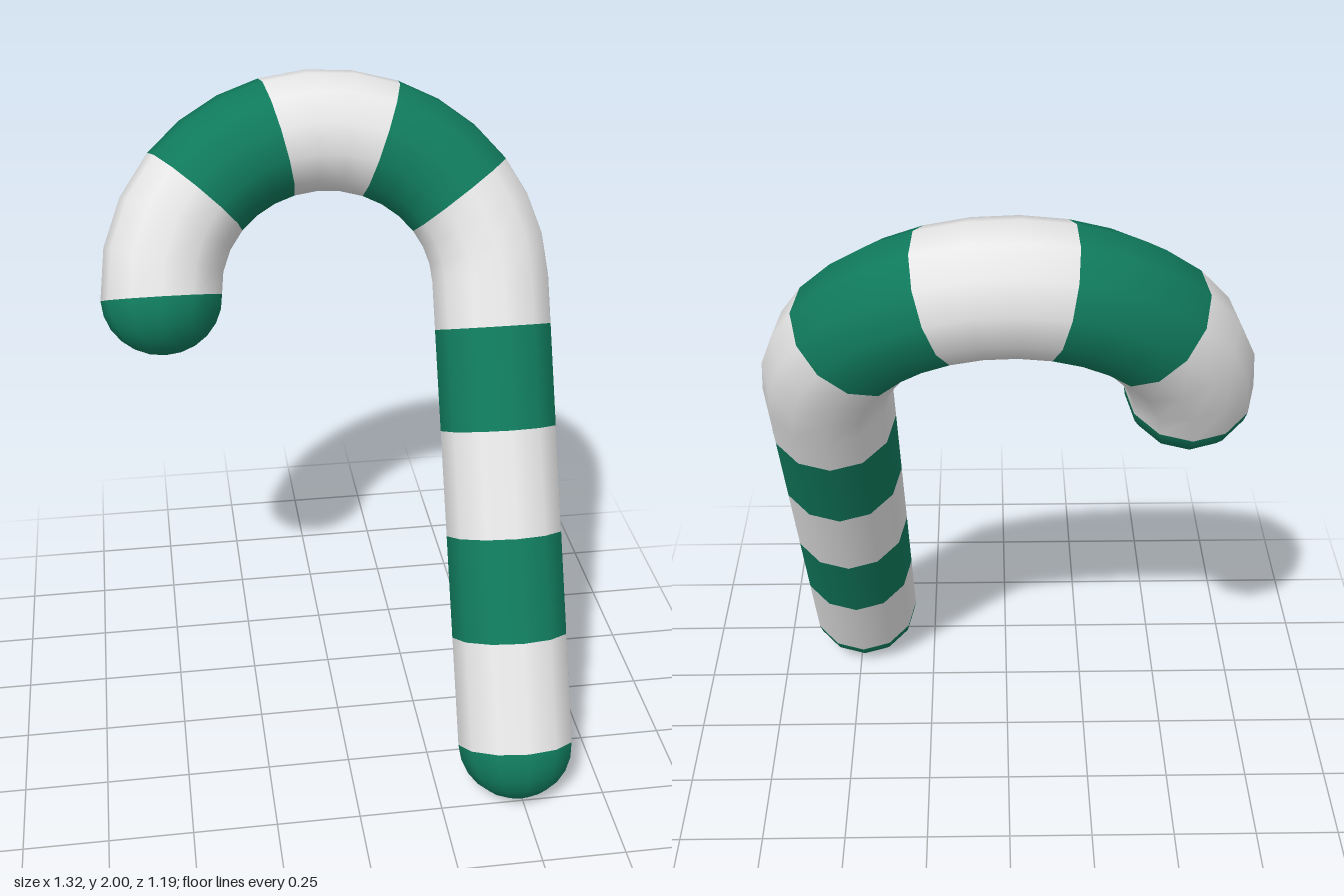
import * as THREE from 'three';

const RADIUS = 0.175;  // thickness of the cane
const SIDES = 12;
const HOOK_X = 0.485;  // half width of the hook
const HOOK_Y = 0.457;  // height of the hook above the shaft
const SHAFT = 1.392;   // length of the straight shaft

// Part of the half-ellipse hook between two angles in degrees
class HookCurve extends THREE.Curve {
  constructor(from, to) {
    super();
    this.from = from;
    this.to = to;
  }
  getPoint(t, target = new THREE.Vector3()) {
    const a = THREE.MathUtils.degToRad(this.from + (this.to - this.from) * t);
    return target.set(HOOK_X * Math.cos(a), SHAFT + HOOK_Y * Math.sin(a), 0);
  }
}

export function createModel() {
  const green = new THREE.MeshStandardMaterial({ color: 0x107a5c });
  green.name = 'green';
  const white = new THREE.MeshStandardMaterial({ color: 0xe6e6e6 });
  white.name = 'white';

  const cane = new THREE.Group();
  cane.name = 'candyCane';

  const add = (geometry, material, name) => {
    const mesh = new THREE.Mesh(geometry, material);
    mesh.name = name;
    cane.add(mesh);
    return mesh;
  };

  // Straight shaft, in alternating bands
  const shaftStops = [0, 0.328, 0.635, 0.95, 1.25, SHAFT];
  for (let i = 0; i < shaftStops.length - 1; i++) {
    const line = new THREE.LineCurve3(
      new THREE.Vector3(HOOK_X, shaftStops[i], 0),
      new THREE.Vector3(HOOK_X, shaftStops[i + 1], 0)
    );
    add(new THREE.TubeGeometry(line, 1, RADIUS, SIDES), i % 2 ? green : white, `shaftBand${i + 1}`);
  }

  // Curved hook, continuing the bands
  const hookStops = [0, 33.4, 68.2, 104.8, 139.4, 180];
  for (let i = 0; i < hookStops.length - 1; i++) {
    const curve = new HookCurve(hookStops[i], hookStops[i + 1]);
    add(new THREE.TubeGeometry(curve, 3, RADIUS, SIDES), i % 2 ? green : white, `hookBand${i + 1}`);
  }

  // Rounded ends
  const cap = new THREE.SphereGeometry(RADIUS, SIDES, 6, 0, Math.PI * 2, Math.PI / 2, Math.PI / 2);
  add(cap, green, 'bottomCap').position.set(HOOK_X, 0, 0);
  const tip = add(cap, green, 'hookCap');
  tip.position.set(-HOOK_X, SHAFT, 0);
  tip.scale.y = 0.95;

  // Lean the whole cane backwards
  cane.rotation.x = THREE.MathUtils.degToRad(-27);
  cane.position.set(0, 0.176, 0.42);

  const model = new THREE.Group();
  model.name = 'leaningCane';
  model.add(cane);
  return model;
}
